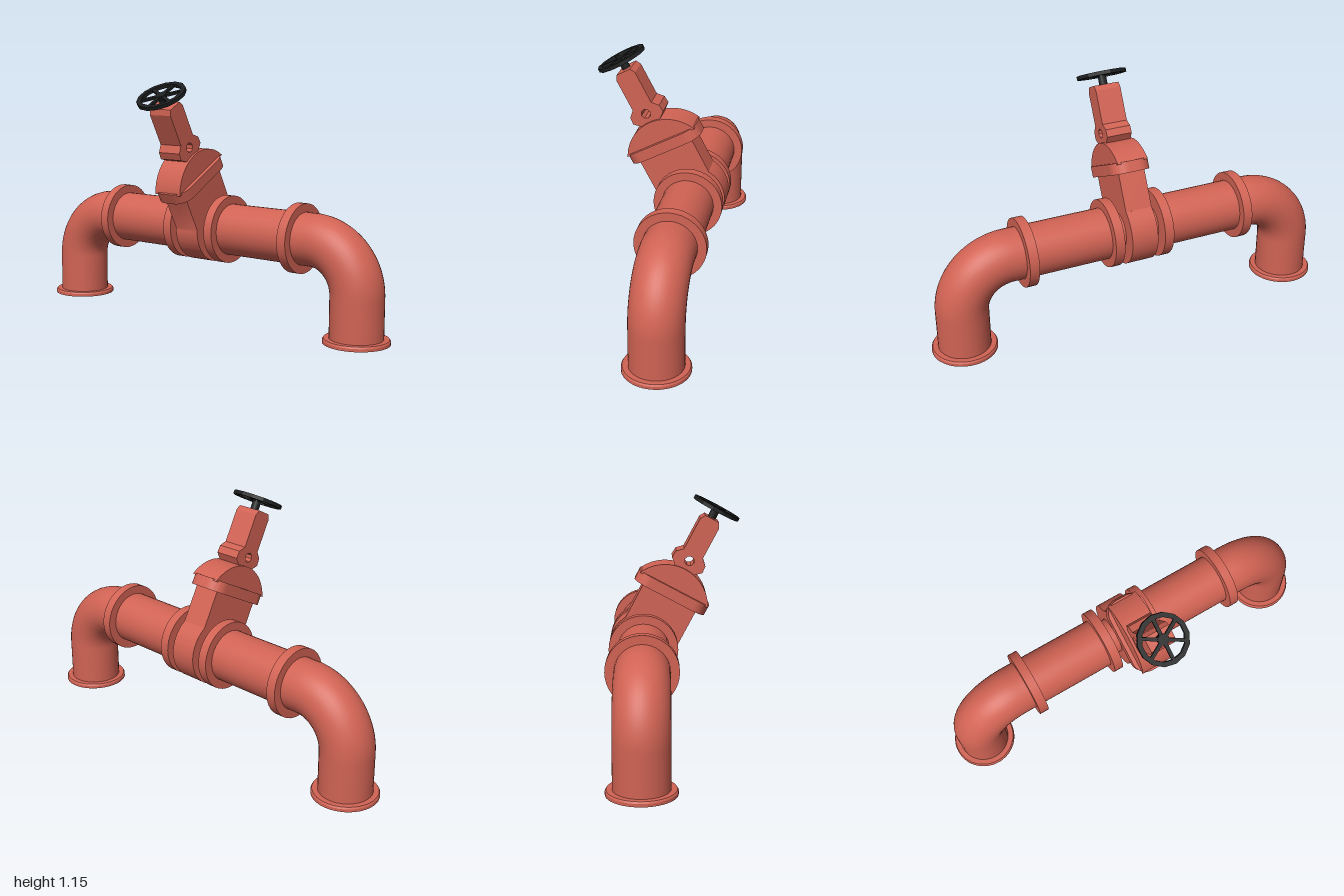
import * as THREE from 'three';
import { toCreasedNormals } from 'three/addons/utils/BufferGeometryUtils.js';

const AXIS_Y = 0.4425, PIPE_R = 0.123, FLANGE_R = 0.163;

export function createModel() {
  const red = new THREE.MeshStandardMaterial({ color: 0xd16354, side: THREE.DoubleSide });
  red.name = 'painted red iron';
  const black = new THREE.MeshStandardMaterial({ color: 0x1e1f20 });
  black.name = 'black iron';

  const root = new THREE.Group();
  root.name = 'pipeWithValve';
  const add = (parent, name, geometry, material = red) => {
    const mesh = new THREE.Mesh(geometry, material);
    mesh.name = name;
    parent.add(mesh);
    return mesh;
  };
  // Short cylinder lying along x
  const disc = (r, x0, x1) =>
    new THREE.CylinderGeometry(r, r, x1 - x0, 40).rotateZ(Math.PI / 2).translate((x0 + x1) / 2, 0, 0);
  // Side profile (depth, height) given thickness along x
  const slab = (shape, half) => {
    const g = new THREE.ExtrudeGeometry(shape, { depth: half * 2, bevelEnabled: false, curveSegments: 32 });
    return toCreasedNormals(g.translate(0, 0, -half).rotateY(Math.PI / 2), 0.5);
  };

  const line = new THREE.Group();
  line.name = 'pipeline';
  line.position.set(0, AXIS_Y, -0.145);
  root.add(line);

  // Pipes, elbows and flanges on both sides
  for (const s of [1, -1]) {
    const P = (x, y) => new THREE.Vector3(s * x, y, 0);
    const legX = 0.847, bend = 0.23, k = bend * 0.4477;
    const path = new THREE.CurvePath();
    path.add(new THREE.LineCurve3(P(0.11, 0), P(legX - bend, 0)));
    path.add(new THREE.CubicBezierCurve3(P(legX - bend, 0), P(legX - k, 0), P(legX, -k), P(legX, -bend)));
    path.add(new THREE.LineCurve3(P(legX, -bend), P(legX, 0.012 - AXIS_Y)));
    add(line, 'pipeAndElbow', new THREE.TubeGeometry(path, 72, PIPE_R, 36, false));

    for (const [name, x] of [['valveFlange', 0.125], ['elbowFlange', 0.5425]]) {
      add(line, name, disc(FLANGE_R, s * x - 0.023, s * x + 0.023));
    }
    add(line, 'valveNeck', disc(0.09, s * 0.085 - 0.025, s * 0.085 + 0.025));

    // Open foot ring
    const ring = [[0.132, 0.012], [0.132, 0], [0.153, 0], [0.153, 0.014], [0.148, 0.022], [0.12, 0.022]];
    const foot = new THREE.LatheGeometry(ring.map(([r, y]) => new THREE.Vector2(r, y)), 40);
    add(line, 'footFlange', toCreasedNormals(foot, 0.5)).position.set(s * legX, -AXIS_Y, 0);
  }

  // Valve leaning towards the front
  const valve = new THREE.Group();
  valve.name = 'valve';
  valve.rotation.x = 0.49;
  line.add(valve);

  // Body: round bottom with straight sides
  const body = new THREE.Shape();
  const join = Math.asin(0.083 / FLANGE_R);
  body.moveTo(0.14, 0.28);
  body.lineTo(0.14, 0.083);
  body.absarc(0, 0, FLANGE_R, join, Math.PI - join, true);
  body.lineTo(-0.14, 0.28);
  add(valve, 'valveBody', slab(body, 0.065));

  // Bonnet flange: rounded plate across the body
  const w = 0.095, l = 0.186, r = 0.07;
  const plate = new THREE.Shape();
  plate.absarc(w - r, l - r, r, 0, Math.PI / 2);
  plate.absarc(r - w, l - r, r, Math.PI / 2, Math.PI);
  plate.absarc(r - w, r - l, r, Math.PI, Math.PI * 1.5);
  plate.absarc(w - r, r - l, r, Math.PI * 1.5, Math.PI * 2);
  const plateGeo = new THREE.ExtrudeGeometry(plate, { depth: 0.053, bevelEnabled: false, curveSegments: 10 });
  plateGeo.rotateX(-Math.PI / 2).translate(0, 0.261, 0);
  add(valve, 'bonnetFlange', toCreasedNormals(plateGeo, 0.5));

  // Domed bonnet
  const dome = new THREE.Shape();
  const cut = Math.asin(0.09 / 0.2016);
  dome.absarc(0, 0.216, 0.2016, cut, Math.PI - cut);
  dome.closePath();
  add(valve, 'bonnet', slab(dome, 0.075));

  // Yoke with a cross hole
  const half = [[0.051, 0.412], [0.081, 0.438], [0.078, 0.473], [0.05, 0.5], [0.05, 0.66], [0.036, 0.684]];
  const outline = [...half, ...half.map(([z, y]) => [-z, y]).reverse()];
  const yoke = new THREE.Shape(outline.map(([z, y]) => new THREE.Vector2(z, y)));
  const hole = Array.from({ length: 8 }, (_, i) => {
    const a = (i * Math.PI) / 4;
    return new THREE.Vector2(0.023 * Math.cos(a), 0.46 + 0.023 * Math.sin(a));
  });
  yoke.holes.push(new THREE.Path(hole));
  add(valve, 'yoke', slab(yoke, 0.062));

  // Stem and handwheel
  add(valve, 'stem', new THREE.CylinderGeometry(0.02, 0.02, 0.07, 12).translate(0, 0.705, 0), black);
  const wheel = new THREE.Group();
  wheel.name = 'handwheel';
  wheel.position.y = 0.734;
  valve.add(wheel);
  const rim = [[0.097, -0.009], [0.119, -0.009], [0.119, 0.009], [0.097, 0.009], [0.097, -0.009]];
  const rimGeo = new THREE.LatheGeometry(rim.map(([x, y]) => new THREE.Vector2(x, y)), 14);
  add(wheel, 'rim', toCreasedNormals(rimGeo, 0.3), black);
  add(wheel, 'hub', new THREE.CylinderGeometry(0.026, 0.026, 0.018, 12), black);
  for (let i = 0; i < 6; i++) {
    const spoke = add(wheel, 'spoke', new THREE.BoxGeometry(0.016, 0.013, 0.09).translate(0, 0, 0.06), black);
    spoke.rotation.y = (i * Math.PI) / 3;
  }
  return root;
}
